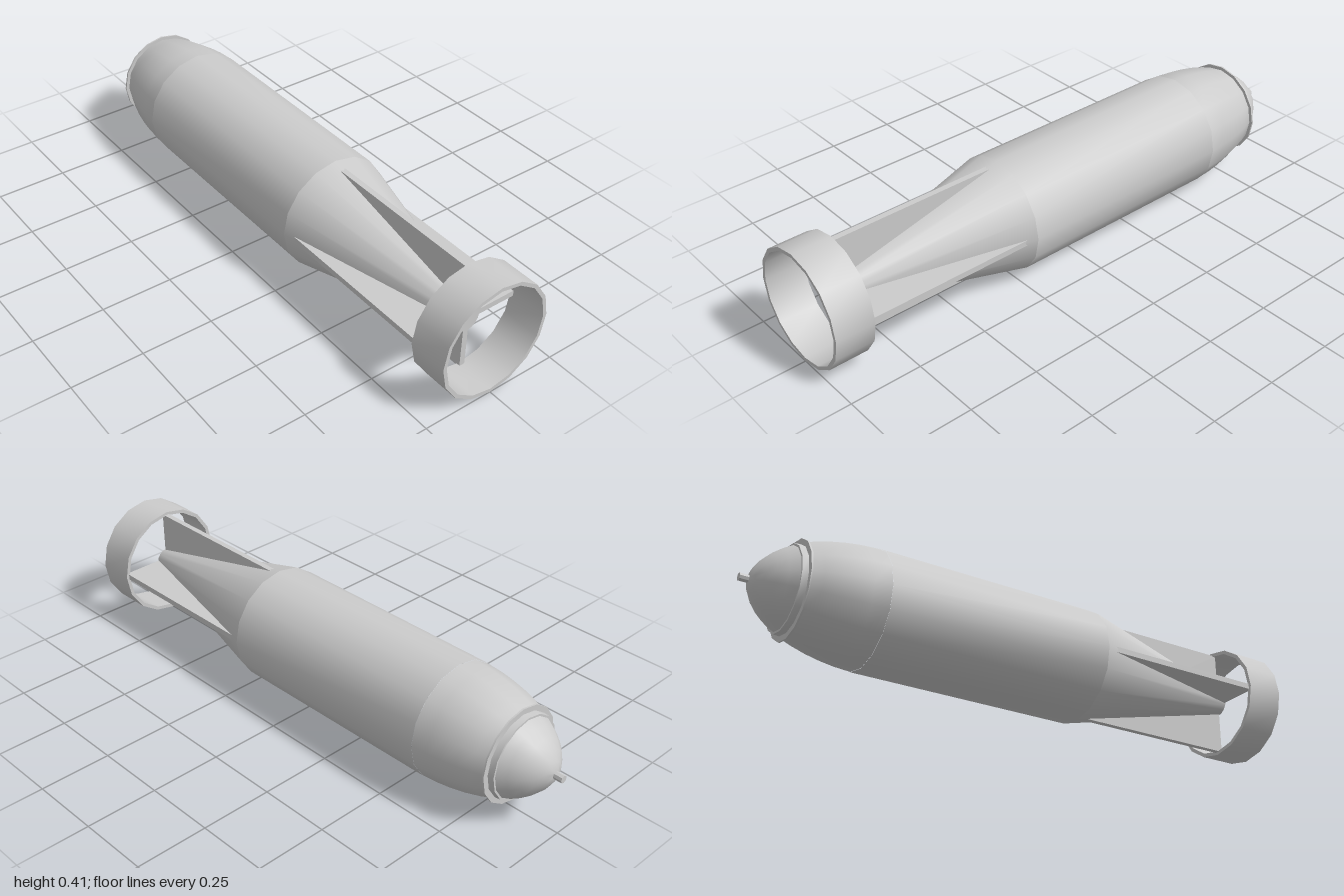
import * as THREE from 'three';
import { toCreasedNormals } from 'three/addons/utils/BufferGeometryUtils.js';

const SIDES = 16;
const AXIS_Y = 0.205;

export function createModel() {
  const group = new THREE.Group();
  const material = new THREE.MeshStandardMaterial({ color: 0xcccccc });

  function add(name, geometry) {
    const mesh = new THREE.Mesh(geometry, material);
    mesh.name = name;
    mesh.position.y = AXIS_Y;
    group.add(mesh);
  }

  // Turned part lying along x; the profile is a list of [x, radius] from nose to tail
  function turned(name, profile, sides = SIDES) {
    const points = profile.map(([x, r]) => new THREE.Vector2(r, x));
    const geometry = new THREE.LatheGeometry(points, sides).rotateZ(-Math.PI / 2);
    add(name, toCreasedNormals(geometry, 0.6));
  }

  // Nose: pin, rounded cap, stepped collar and thin flange
  turned('nosePin', [[-1, 0], [-1, 0.013], [-0.95, 0.013]], 8);
  turned('noseCap', [
    [-0.97, 0], [-0.97, 0.016], [-0.96, 0.04], [-0.94, 0.071],
    [-0.915, 0.097], [-0.885, 0.12], [-0.855, 0.138],
  ]);
  turned('noseCollar', [[-0.855, 0.12], [-0.855, 0.145], [-0.832, 0.147]]);
  turned('noseFlange', [[-0.834, 0.1], [-0.834, 0.166], [-0.828, 0.166], [-0.828, 0.1]]);

  // Body: curved shoulder, straight barrel and tapered tail with a flat end
  turned('shoulder', [
    [-0.83, 0.153], [-0.79, 0.167], [-0.74, 0.181],
    [-0.69, 0.191], [-0.64, 0.198], [-0.58, 0.202],
  ]);
  turned('barrel', [[-0.58, 0.203], [0.235, 0.203]]);
  turned('tailCone', [[0.235, 0.203], [0.88, 0.045], [0.88, 0]]);

  // Two crossed plates form the four fins
  for (const [name, turn] of [['verticalFins', 0], ['horizontalFins', Math.PI / 2]]) {
    const fins = new THREE.BoxGeometry(0.635, 0.384, 0.02);
    add(name, fins.translate(0.5575, 0, 0).rotateX(turn));
  }

  // Open ring around the fin ends
  turned('tailRing', [
    [0.863, 0.19], [0.863, 0.203], [1, 0.203], [1, 0.19], [0.863, 0.19],
  ]);

  return group;
}
